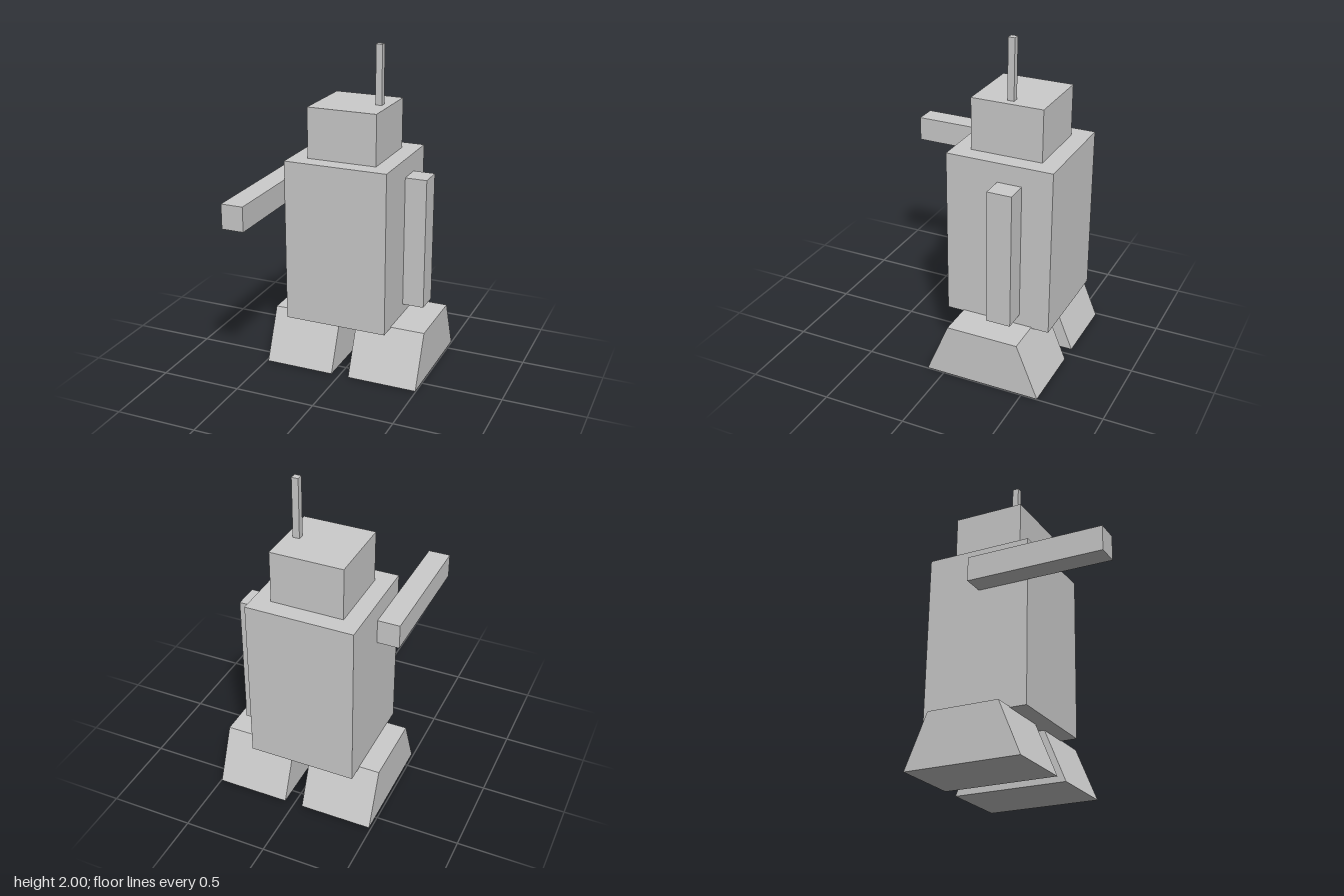
import * as THREE from 'three';

const material = new THREE.MeshStandardMaterial({ color: 0xcccccc, flatShading: true });

// Box spanning the given [min, max] range on each axis
function block(name, [x0, x1], [y0, y1], [z0, z1]) {
  const mesh = new THREE.Mesh(new THREE.BoxGeometry(x1 - x0, y1 - y0, z1 - z0), material);
  mesh.name = name;
  mesh.position.set((x0 + x1) / 2, (y0 + y1) / 2, (z0 + z1) / 2);
  return mesh;
}

// Foot: trapezoid side profile extruded across its width
function foot(name, x0, x1) {
  // Shape x becomes -z after the quarter turn
  const profile = new THREE.Shape([
    new THREE.Vector2(-0.11, 0),
    new THREE.Vector2(0.597, 0),
    new THREE.Vector2(0.463, 0.323),
    new THREE.Vector2(0.026, 0.323),
  ]);
  const geometry = new THREE.ExtrudeGeometry(profile, { depth: x1 - x0, bevelEnabled: false });
  geometry.rotateY(Math.PI / 2);
  const mesh = new THREE.Mesh(geometry, material);
  mesh.name = name;
  mesh.position.x = x0;
  return mesh;
}

export function createModel() {
  const robot = new THREE.Group();
  robot.name = 'robot';

  robot.add(
    // Trunk, head and antenna
    block('body', [-0.364, 0.281], [0.316, 1.328], [-0.569, 0.078]),
    block('head', [-0.259, 0.176], [1.328, 1.64], [-0.461, -0.026]),
    block('antenna', [0.09, 0.13], [1.64, 2], [-0.266, -0.226]),
    // Right arm reaches forward, left arm hangs down
    block('rightArm', [-0.498, -0.364], [1.063, 1.212], [-0.235, 0.597]),
    block('leftArm', [0.281, 0.416], [0.386, 1.212], [-0.386, -0.237]),
    // Feet
    foot('rightFoot', -0.488, -0.052),
    foot('leftFoot', 0.059, 0.496),
  );
  return robot;
}
